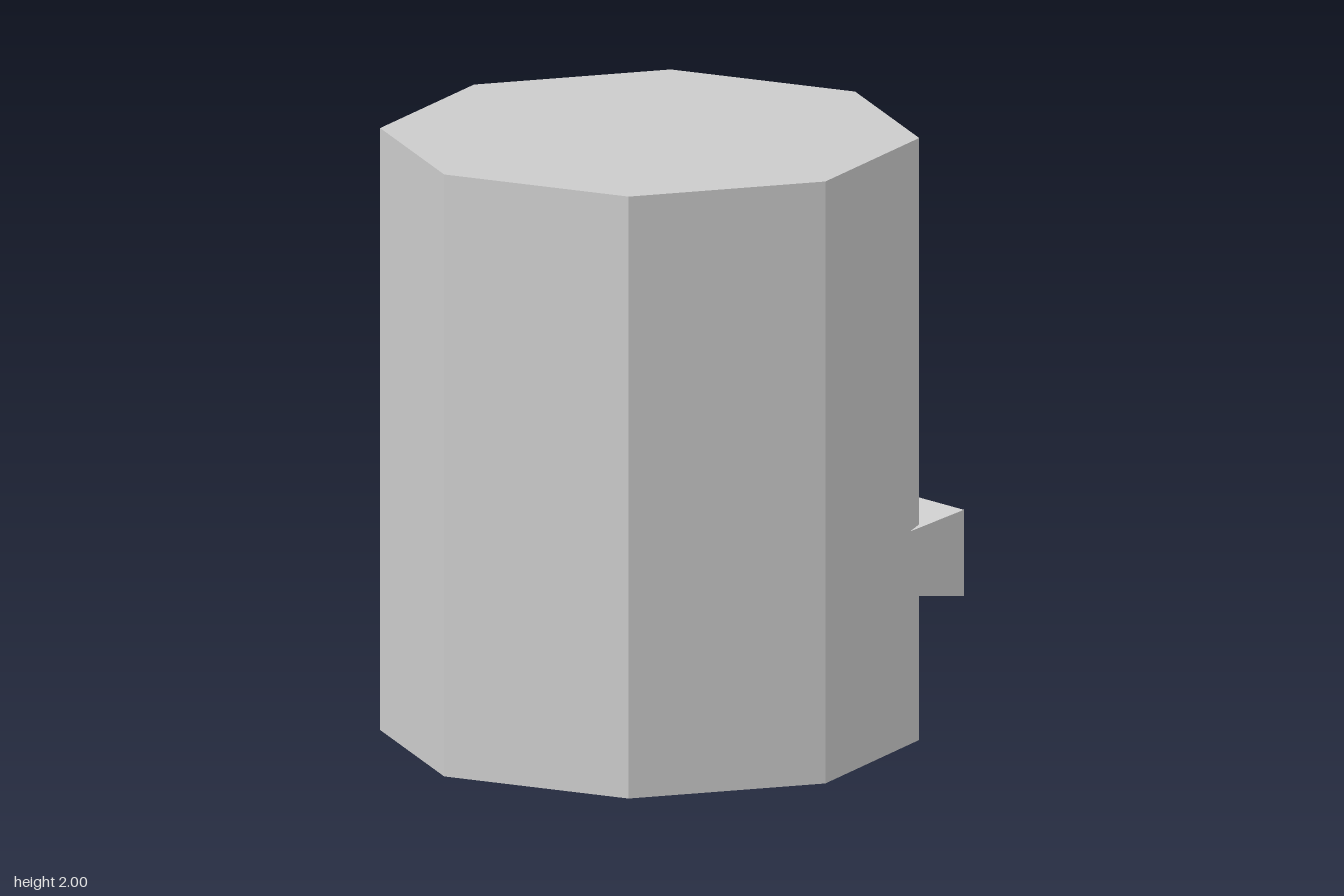
import * as THREE from 'three';

export function createModel() {
  const group = new THREE.Group();
  const material = new THREE.MeshStandardMaterial({ color: 0xcccccc, flatShading: true });

  // Octagonal body, corners on the x and z axes
  const body = new THREE.Mesh(new THREE.CylinderGeometry(0.873, 0.873, 2, 8), material);
  body.name = 'body';
  body.position.y = 1;
  group.add(body);

  // Crossbar through the left side, flaring outwards; its ends stand out as two lugs
  const innerX = 0.45, outerX = 0.785, halfLength = 0.643;
  const profile = new THREE.Shape([
    new THREE.Vector2(innerX, -0.09),
    new THREE.Vector2(outerX, -0.143),
    new THREE.Vector2(outerX, 0.143),
    new THREE.Vector2(innerX, 0.09),
  ]);
  const barGeometry = new THREE.ExtrudeGeometry(profile, { depth: 2 * halfLength, bevelEnabled: false });
  barGeometry.translate(0, 0.6, -halfLength);
  const bar = new THREE.Mesh(barGeometry, material);
  bar.name = 'crossbar';
  group.add(bar);

  return group;
}
